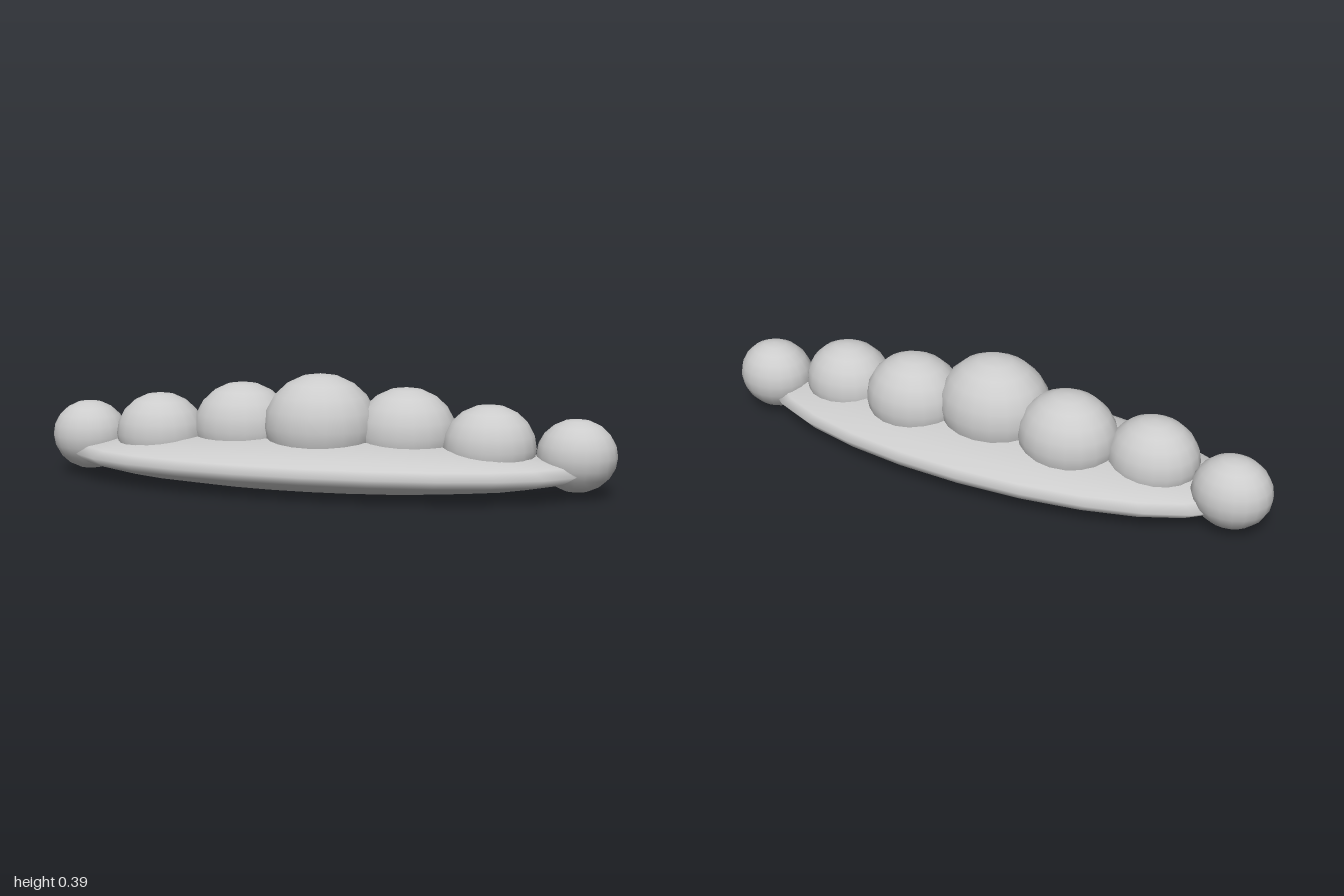
import * as THREE from 'three';

export function createModel() {
  const model = new THREE.Group();
  model.name = 'cloud';
  const cloudGrey = new THREE.MeshStandardMaterial({ color: 0xcccccc });
  cloudGrey.name = 'cloudGrey';

  // Smooth ellipsoid with the given centre and radii
  function ellipsoid(name, segments, [x, y, z], [rx, ry, rz]) {
    const geometry = new THREE.SphereGeometry(1, segments, 10);
    geometry.scale(rx, ry, rz);
    geometry.computeVertexNormals();
    // Exact ellipsoid normals, free of a seam
    const p = geometry.attributes.position, n = geometry.attributes.normal;
    const v = new THREE.Vector3();
    for (let i = 0; i < p.count; i++) {
      v.set(p.getX(i) / (rx * rx), p.getY(i) / (ry * ry), p.getZ(i) / (rz * rz)).normalize();
      n.setXYZ(i, v.x, v.y, v.z);
    }
    const mesh = new THREE.Mesh(geometry, cloudGrey);
    mesh.name = name;
    mesh.position.set(x, y, z);
    model.add(mesh);
  }

  // Wide flat underside
  ellipsoid('base', 24, [0, 0.09, 0], [0.9, 0.088, 0.3]);

  // Row of puffs, shrinking outwards: x, y, z, radius
  const puffs = [
    ['middlePuff', 0, 0.214, 0, 0.181],
    ['innerPuff', 0.29, 0.193, -0.041, 0.159],
    ['outerPuff', 0.58, 0.166, 0, 0.144],
    ['endPuff', 0.865, 0.143, -0.041, 0.123],
  ];
  for (const [name, x, y, z, r] of puffs) {
    for (const side of x === 0 ? [1] : [1, -1]) {
      const label = x === 0 ? name : name + (side > 0 ? 'Left' : 'Right');
      ellipsoid(label, 20, [side * x, y, z], [r * 1.09, r, r * 0.955]);
    }
  }
  return model;
}
